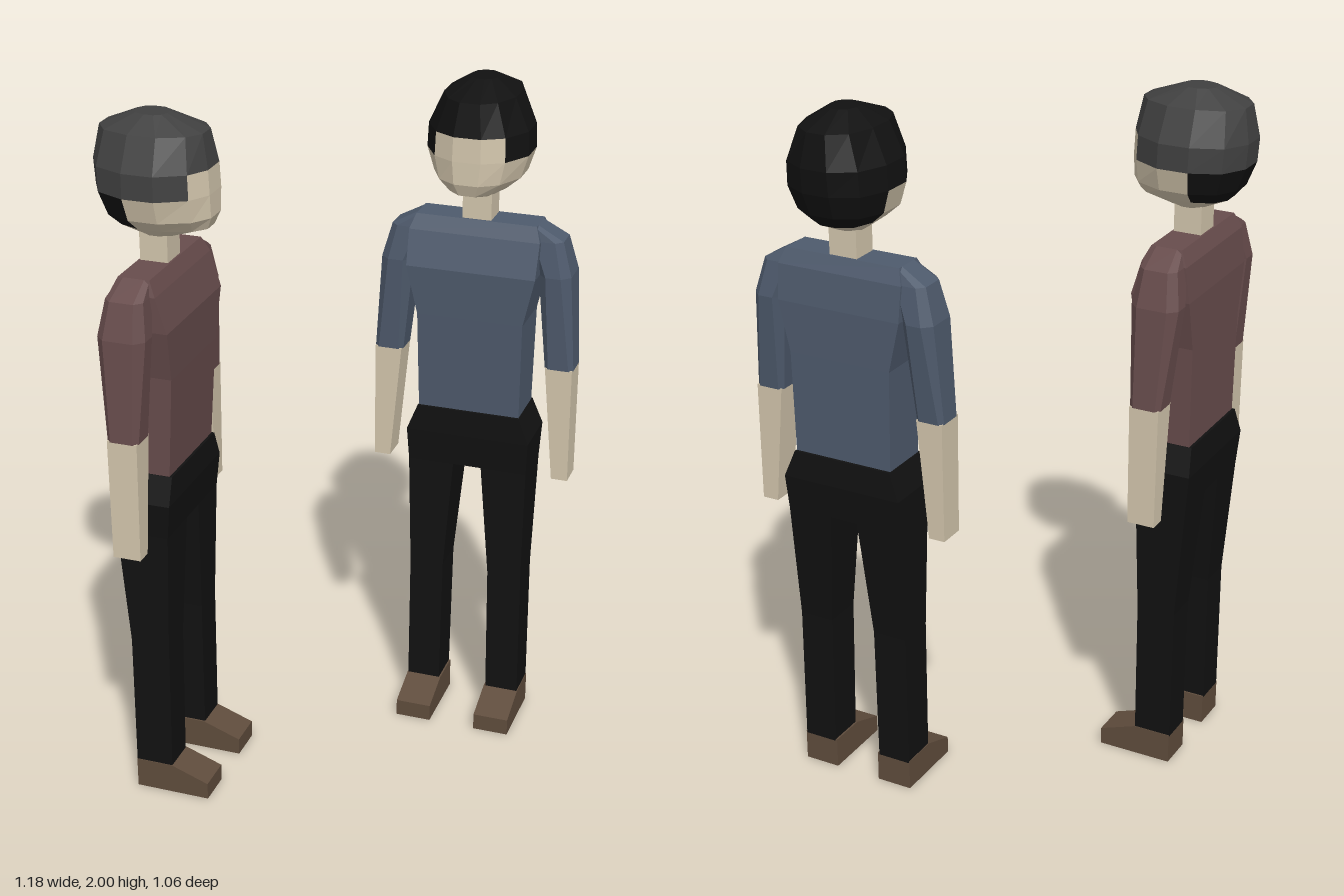
import * as THREE from 'three';

const mat = (color) => new THREE.MeshStandardMaterial({ color, flatShading: true });

// Skin stretched over rings of points, from bottom to top; keep(i, j) picks the facets
function loft(rings, keep = () => true, capBottom = true, capTop = true) {
  const n = rings[0].length, index = [];
  for (let i = 0; i < rings.length - 1; i++) {
    for (let j = 0; j < n; j++) {
      if (!keep(i, j)) continue;
      const k = (j + 1) % n, a = i * n + j, b = i * n + k;
      index.push(a, b, b + n, a, b + n, a + n);
    }
  }
  const last = (rings.length - 1) * n;
  for (let j = 1; j < n - 1; j++) {
    if (capBottom) index.push(0, j + 1, j);
    if (capTop) index.push(last, last + j, last + j + 1);
  }
  const g = new THREE.BufferGeometry();
  g.setAttribute('position', new THREE.Float32BufferAttribute(rings.flat(2), 3));
  g.setIndex(index);
  g.computeVertexNormals();
  return g;
}

// Rectangular section at height y, with corners cut by c
function section(y, xa, xb, z0, z1, c = 0) {
  const x0 = Math.min(xa, xb), x1 = Math.max(xa, xb);
  if (!c) return [[x0, y, z1], [x1, y, z1], [x1, y, z0], [x0, y, z0]];
  return [[x0 + c, y, z1], [x1 - c, y, z1], [x1, y, z1 - c], [x1, y, z0 + c],
    [x1 - c, y, z0], [x0 + c, y, z0], [x0, y, z0 + c], [x0, y, z1 - c]];
}

// Twelve-sided head outline, seen from above
const half = [[0.04, 0.165], [0.1, 0.13], [0.145, 0.05], [0.145, -0.04], [0.11, -0.125], [0.04, -0.165]];
const mirrored = half.map(([x, z]) => [-x, z]).reverse();
const outline = [mirrored[5], ...half, ...mirrored.slice(0, 5)];

// Height, width scale, front depth, back depth
const headRings = [
  [1.67, 0.3, 0.06, 0.04],
  [1.7, 0.58, 0.15, 0.105],
  [1.735, 0.86, 0.165, 0.135],
  [1.8, 1, 0.165, 0.16],
  [1.868, 0.98, 0.162, 0.165],
  [1.96, 0.7, 0.145, 0.148],
  [2.0, 0.28, 0.04, 0.055],
].map(([y, s, f, b]) => outline.map(([x, z]) => [x * s, y, z * (z > 0 ? f : b) / 0.165]));

// Which part of the head each facet belongs to
function headPart(i, j) {
  if (i >= 4) return 'hair';
  if (i === 3) return j < 2 || j === 11 ? 'face' : 'hair';
  return i > 0 && j >= 4 && j <= 8 ? 'nape' : 'face';
}

function makePerson(name, shirtColor, hairColor) {
  const person = new THREE.Group();
  person.name = name;
  const skin = mat(0xd2c5ac), shirt = mat(shirtColor), hair = mat(hairColor);
  const black = mat(0x111111), leather = mat(0x5f4c3c);
  const add = (part, geometry, material) => {
    const mesh = new THREE.Mesh(geometry, material);
    mesh.name = part;
    person.add(mesh);
    return mesh;
  };

  // Head, hair and neck
  const pick = (part) => (i, j) => headPart(i, j) === part;
  add('face', loft(headRings, pick('face'), true, false), skin);
  add('hair', loft(headRings, pick('hair'), false, true), hair);
  add('napeHair', loft(headRings, pick('nape'), false, false), black);
  add('neck', new THREE.BoxGeometry(0.084, 0.12, 0.08).translate(0, 1.64, 0), skin);

  // Shirt body
  add('shirt', loft([
    section(1.015, -0.15, 0.15, -0.075, 0.07),
    section(1.31, -0.155, 0.155, -0.077, 0.088),
    section(1.455, -0.188, 0.188, -0.077, 0.095),
    section(1.555, -0.19, 0.19, -0.065, 0.065),
    section(1.597, -0.175, 0.175, -0.045, 0.045),
  ]), shirt);

  // Trouser seat
  add('hips', loft([
    section(0.84, -0.183, 0.183, -0.085, 0.072),
    section(0.94, -0.183, 0.183, -0.092, 0.08),
    section(1.018, -0.152, 0.152, -0.083, 0.078),
  ].map((r, i) => (i ? r : section(0.84, -0.178, 0.178, -0.083, 0.07)))), black);

  for (const s of [1, -1]) {
    const side = s > 0 ? 'left' : 'right';

    // Sleeve and bare forearm
    add(side + 'Sleeve', loft([
      section(1.172, s * 0.212, s * 0.296, -0.045, 0.045, 0.012),
      section(1.455, s * 0.184, s * 0.278, -0.075, 0.062, 0.025),
      section(1.555, s * 0.15, s * 0.25, -0.058, 0.05, 0.02),
      section(1.597, s * 0.11, s * 0.175, -0.042, 0.042, 0.012),
    ]), shirt);
    add(side + 'Forearm', loft([
      section(0.825, s * 0.247, s * 0.295, -0.04, 0.04),
      section(1.174, s * 0.215, s * 0.294, -0.043, 0.043),
    ]), skin);

    // Trouser leg
    add(side + 'Leg', loft([
      section(0.085, s * 0.075, s * 0.174, -0.055, 0.055),
      section(0.49, s * 0.07, s * 0.172, -0.056, 0.058),
      section(0.842, s * 0.042, s * 0.178, -0.083, 0.07),
    ]), black);

    // Shoe with a sloping toe
    const profile = new THREE.Shape([[-0.055, 0], [0.165, 0], [0.165, 0.05], [0.055, 0.09], [-0.055, 0.09]]
      .map(([z, y]) => new THREE.Vector2(z, y)));
    const shoe = new THREE.ExtrudeGeometry(profile, { depth: 0.106, bevelEnabled: false });
    shoe.translate(0, 0, -0.053).rotateY(-Math.PI / 2).translate(s * 0.123, 0, 0);
    add(side + 'Shoe', shoe, leather);
  }
  return person;
}

export function createModel() {
  const model = new THREE.Group();
  model.name = 'twoStandingPeople';

  const bluePerson = makePerson('bluePerson', 0x4e5a6c, 0x111111);
  bluePerson.position.set(0.295, 0, -0.365);

  // The second person is turned towards +x
  const redPerson = makePerson('redPerson', 0x674c4c, 0x404040);
  redPerson.position.set(-0.425, 0, 0.235);
  redPerson.rotation.y = Math.PI / 2;

  model.add(bluePerson, redPerson);
  return model;
}
